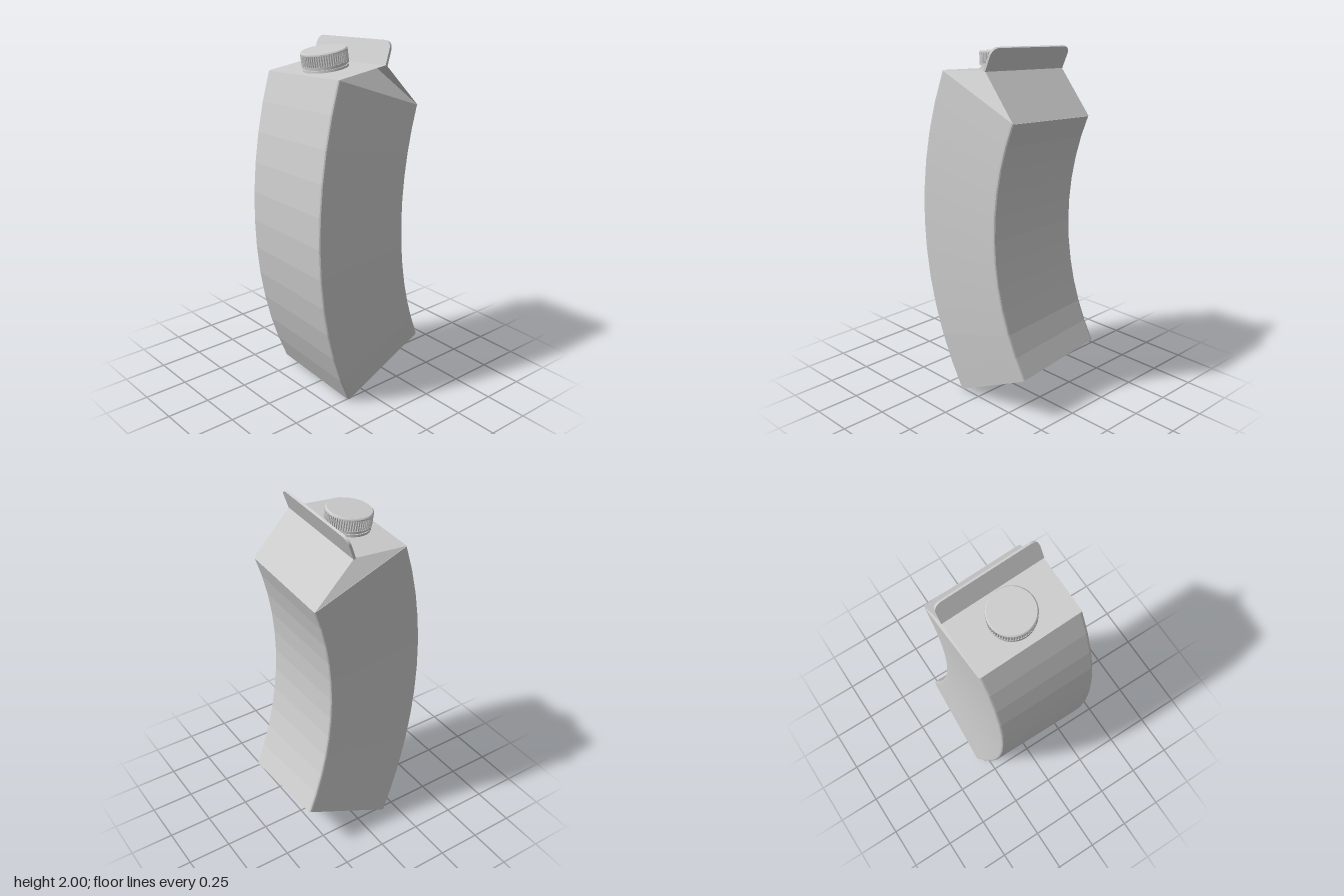
import * as THREE from 'three';

const HALF = 0.29;            // half width of the square carton
const LEAN = 0.2;             // direction of the bend, measured from +z
const RADIUS = 1.93;          // bend radius
const BOTTOM = -0.47, TOP = 0.372; // bend angles at base and shoulder
const MID = new THREE.Vector3(0.02, 1.03, 0.085);
const RIDGE = 0.145, FIN = 0.125;

// Bends a point of the straight carton: x and z across, angle along the height
function bend(x, angle, z) {
  const s = Math.sin(LEAN), c = Math.cos(LEAN);
  const u = x * s + z * c, v = x * c - z * s;
  const d = (RADIUS + u) * Math.cos(angle) - RADIUS;
  return new THREE.Vector3(
    MID.x + d * s + v * c,
    MID.y + (RADIUS + u) * Math.sin(angle),
    MID.z + d * c - v * s);
}

function roundedRect(w, h, r) {
  const s = new THREE.Shape();
  s.moveTo(-w + r, -h);
  s.lineTo(w - r, -h); s.quadraticCurveTo(w, -h, w, -h + r);
  s.lineTo(w, h - r); s.quadraticCurveTo(w, h, w - r, h);
  s.lineTo(-w + r, h); s.quadraticCurveTo(-w, h, -w, h - r);
  s.lineTo(-w, -h + r); s.quadraticCurveTo(-w, -h, -w + r, -h);
  return s;
}

function panels(triangles) {
  const g = new THREE.BufferGeometry();
  g.setAttribute('position', new THREE.Float32BufferAttribute(triangles.flat(2), 3));
  g.computeVertexNormals();
  return g;
}

export function createModel() {
  const model = new THREE.Group();
  model.name = 'bentCarton';
  const card = new THREE.MeshStandardMaterial({ color: 0xcccccc, side: THREE.DoubleSide });
  card.name = 'plain grey card';
  const add = (parent, name, geometry) => {
    const mesh = new THREE.Mesh(geometry, card);
    mesh.name = name;
    parent.add(mesh);
    return mesh;
  };

  // Curved body in flat bands
  const body = new THREE.ExtrudeGeometry(roundedRect(HALF, HALF, 0.015),
    { depth: 1, steps: 11, bevelEnabled: false, curveSegments: 3 });
  const p = body.attributes.position;
  for (let i = 0; i < p.count; i++) {
    const q = bend(p.getX(i), BOTTOM + (TOP - BOTTOM) * p.getZ(i), -p.getY(i));
    p.setXYZ(i, q.x, q.y, q.z);
  }
  body.computeVertexNormals();
  add(model, 'body', body);

  // Everything above the shoulder sits in the tilted frame at the body's top
  const top = new THREE.Group();
  top.name = 'gableTop';
  top.position.copy(bend(0, TOP, 0));
  top.quaternion.setFromAxisAngle(
    new THREE.Vector3(Math.cos(LEAN), 0, -Math.sin(LEAN)), -TOP);
  model.add(top);

  // Sloping roof panels
  const H = HALF - 0.002;
  for (const [name, s] of [['frontRoof', 1], ['backRoof', -1]]) {
    const a = [-H * s, 0, H * s], b = [H * s, 0, H * s];
    const c = [H * s, RIDGE, 0], d = [-H * s, RIDGE, 0];
    add(top, name, panels([[a, b, c], [a, c, d]]));
  }

  // Side gussets folded inwards under the roof
  for (const [name, s] of [['leftGusset', 1], ['rightGusset', -1]]) {
    add(top, name, panels([[[s * H, 0, s * H], [s * H, 0, -s * H], [s * (H - 0.1), RIDGE - 0.004, 0]]]));
  }

  // Upright sealing fin with rounded upper corners
  const fin = new THREE.Shape();
  const r = 0.045;
  fin.moveTo(-HALF, -0.005);
  fin.lineTo(HALF, -0.005);
  fin.lineTo(HALF, FIN - r);
  fin.absarc(HALF - r, FIN - r, r, 0, Math.PI / 2, false);
  fin.absarc(-HALF + r, FIN - r, r, Math.PI / 2, Math.PI, false);
  const finGeometry = new THREE.ExtrudeGeometry(fin, { depth: 0.014, bevelEnabled: false, curveSegments: 8 });
  add(top, 'sealingFin', finGeometry.translate(0, RIDGE, -0.007));

  // Screw cap standing square on the front roof
  const cap = new THREE.Group();
  cap.name = 'screwCap';
  cap.position.set(0.0, RIDGE / 2, H / 2);
  cap.rotation.x = Math.atan2(RIDGE, H);
  top.add(cap);
  const disc = (name, rTop, rBottom, y0, y1) => add(cap, name,
    new THREE.CylinderGeometry(rTop, rBottom, y1 - y0, 64).translate(0, (y0 + y1) / 2, 0));
  disc('capFlange', 0.12, 0.122, -0.005, 0.012);
  disc('capNeck', 0.113, 0.113, 0.012, 0.022);
  disc('capLowerRim', 0.123, 0.123, 0.02, 0.03);
  disc('capUpperRim', 0.123, 0.124, 0.086, 0.093);
  disc('capTop', 0.117, 0.123, 0.093, 0.099);

  // Ribbed grip
  const grip = new THREE.Shape();
  const ribs = 60;
  for (let i = 0; i < ribs * 4; i++) {
    const t = i / (ribs * 4) * Math.PI * 2, rad = i % 4 < 2 ? 0.124 : 0.119;
    grip[i ? 'lineTo' : 'moveTo'](rad * Math.cos(t), rad * Math.sin(t));
  }
  const gripGeometry = new THREE.ExtrudeGeometry(grip, { depth: 0.058, bevelEnabled: false });
  add(cap, 'capGrip', gripGeometry.rotateX(-Math.PI / 2).translate(0, 0.029, 0));

  return model;
}
